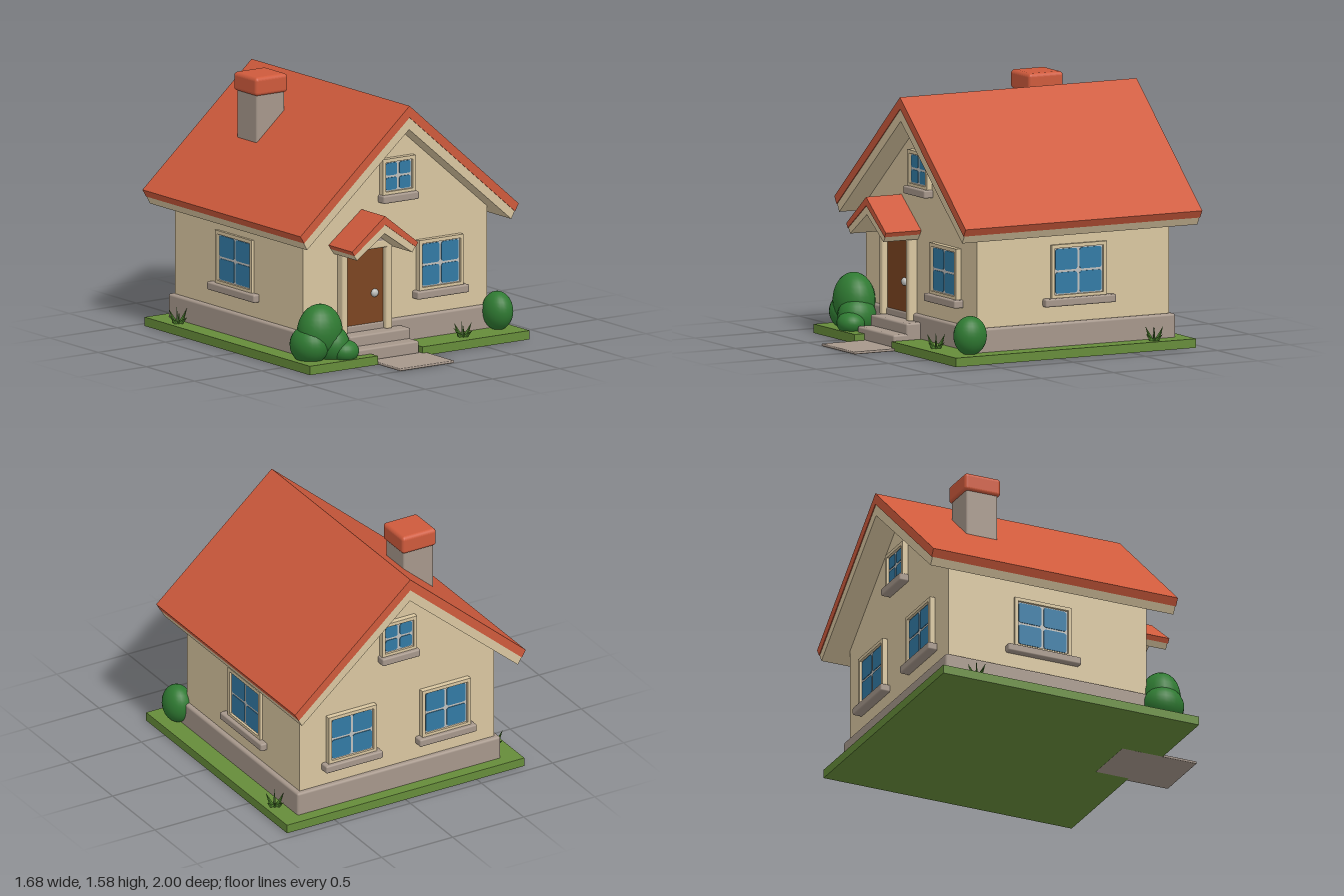
import * as THREE from 'three';
import { RoundedBoxGeometry } from 'three/addons/geometries/RoundedBoxGeometry.js';

const material = (name, color, side = THREE.FrontSide) => {
  const m = new THREE.MeshStandardMaterial({ color, side });
  m.name = name;
  return m;
};

export function createModel() {
  const wall = material('cream plaster', 0xd9c6a0);
  const roofRed = material('red roof', 0xce5a3c);
  const stone = material('grey stone', 0xa6978b);
  const glass = material('blue glass', 0x327aa4);
  const pale = material('pale window bars', 0xbfc0bd);
  const wood = material('brown door', 0x7c4521);
  const leaf = material('bush green', 0x2f7a32);
  const lawn = material('lawn green', 0x668c3a);
  const blade = material('grass blade green', 0x4c7f2c, THREE.DoubleSide);

  const house = new THREE.Group();
  house.name = 'cottage';

  const add = (name, geometry, mat, parent = house) => {
    const mesh = new THREE.Mesh(geometry, mat);
    mesh.name = name;
    parent.add(mesh);
    return mesh;
  };
  // Box given by its limits, with softly rounded edges
  const box = (name, mat, [x0, x1], [y0, y1], [z0, z1], r = 0.012, parent = house) => {
    const g = new RoundedBoxGeometry(x1 - x0, y1 - y0, z1 - z0, 2, r);
    g.translate((x0 + x1) / 2, (y0 + y1) / 2, (z0 + z1) / 2);
    return add(name, g, mat, parent);
  };
  const outline = (pts) => new THREE.Shape(pts.map(([x, y]) => new THREE.Vector2(x, y)));
  const rect = (w, h) => [[-w / 2, -h / 2], [w / 2, -h / 2], [w / 2, h / 2], [-w / 2, h / 2]];
  const extrude = (shape, z0, z1) => {
    const g = new THREE.ExtrudeGeometry(shape, { depth: z1 - z0, bevelEnabled: false });
    return g.translate(0, 0, z0);
  };
  const roundedRect = (w, h, r) => {
    const s = new THREE.Shape(), x = w / 2, y = h / 2;
    s.absarc(x - r, y - r, r, 0, Math.PI / 2);
    s.absarc(r - x, y - r, r, Math.PI / 2, Math.PI);
    s.absarc(r - x, r - y, r, Math.PI, Math.PI * 1.5);
    s.absarc(x - r, r - y, r, Math.PI * 1.5, Math.PI * 2);
    return s;
  };

  // Lawn slab, notched where the path meets the steps
  const lawnGeo = extrude(outline([
    [-0.835, -0.77], [-0.33, -0.77], [-0.33, -0.5], [0.04, -0.5],
    [0.04, -0.72], [0.835, -0.72], [0.835, 0.945], [-0.835, 0.945],
  ]), 0, 0.055).rotateX(-Math.PI / 2);
  add('lawn', lawnGeo, lawn);

  // Path and entrance steps
  box('path', stone, [-0.33, 0.075], [0, 0.016], [0.5, 1], 0.006);
  box('lowerStep', stone, [-0.42, 0.03], [0.01, 0.09], [0.45, 0.7]);
  box('upperStep', stone, [-0.42, 0.03], [0.03, 0.155], [0.45, 0.61]);

  // Walls with gables on a stone plinth
  box('plinth', stone, [-0.715, 0.715], [0.04, 0.2], [-0.87, 0.515], 0.015);
  add('walls', extrude(outline([
    [-0.685, 0.1], [0.685, 0.1], [0.685, 0.82], [0, 1.41], [-0.685, 0.82],
  ]), -0.84, 0.49), wall);

  // A layer of pitched roof: outer and inner lines, each [apexY, endX, endY]
  const pitched = (name, mat, cx, [ya, xe, ye], [yb, xi, yi], z0, z1) =>
    add(name, extrude(outline([
      [cx, ya], [cx - xe, ye], [cx - xi, yi], [cx, yb], [cx + xi, yi], [cx + xe, ye],
    ]), z0, z1), mat);
  const eave = [1.465, 0.785, 0.785];
  pitched('mainRoof', roofRed, 0, [1.537, 0.812, 0.83], eave, -1, 0.64);
  pitched('roofTrim', wall, 0, eave, [1.39, 0.76, 0.74], -0.995, 0.635);
  const porchEave = [0.85, 0.228, 0.685];
  pitched('porchRoof', roofRed, -0.25, [0.903, 0.245, 0.712], porchEave, 0.45, 0.735);
  pitched('porchRoofTrim', wall, -0.25, porchEave, [0.795, 0.205, 0.653], 0.45, 0.73);

  // Chimney with a domed cap
  box('chimney', stone, [-0.41, -0.2], [1.02, 1.5], [-0.585, -0.375]);
  const cap = new RoundedBoxGeometry(0.24, 0.11, 0.24, 6, 0.02);
  const p = cap.attributes.position;
  for (let i = 0; i < p.count; i++) {
    const r = Math.max(Math.abs(p.getX(i)), Math.abs(p.getZ(i))) / 0.12;
    if (p.getY(i) > 0) p.setY(i, p.getY(i) + 0.014 * (1 - r * r));
  }
  cap.computeVertexNormals();
  add('chimneyCap', cap, roofRed).position.set(-0.305, 1.525, -0.48);

  // Door, surround and gable infill under the porch roof
  box('door', wood, [-0.39, -0.1], [0.15, 0.66], [0.47, 0.51], 0.005);
  for (const [x0, x1] of [[-0.43, -0.388], [-0.105, -0.058]])
    box('doorPost', wall, [x0, x1], [0.15, 0.7], [0.47, 0.545]);
  box('doorLintel', wall, [-0.42, -0.07], [0.658, 0.71], [0.47, 0.545]);
  add('porchGable', extrude(outline([[-0.39, 0.705], [-0.11, 0.705], [-0.25, 0.82]]), 0.47, 0.55), stone);
  const knob = add('doorKnob', new THREE.SphereGeometry(0.025, 16, 12), pale);
  knob.position.set(-0.17, 0.38, 0.515);
  knob.scale.z = 0.7;

  // Four-pane window built facing +z around its own centre
  const addWindow = (name, w, h, sillW, x, y, z, turn = 0) => {
    const g = new THREE.Group();
    g.name = name;
    const frame = outline(rect(w, h));
    const t = 0.022, iw = w - 2 * t, ih = h - 2 * t;
    frame.holes.push(new THREE.Path(rect(iw, ih).reverse().map(([a, b]) => new THREE.Vector2(a, b))));
    add('windowFrame', extrude(frame, -0.03, 0.035), wall, g);
    add('windowBars', new THREE.BoxGeometry(iw, ih, 0.04), pale, g);
    const pw = iw / 2 - 0.016, ph = ih / 2 - 0.014;
    for (const sx of [-1, 1]) for (const sy of [-1, 1]) {
      const pane = add('windowPane', extrude(roundedRect(pw, ph, 0.016), 0, 0.004), glass, g);
      pane.position.set(sx * iw * 0.25, sy * ih * 0.25, 0.02);
    }
    box('windowSill', stone, [-sillW / 2, sillW / 2], [-h / 2 - 0.045, -h / 2 + 0.004], [-0.03, 0.06], 0.01, g);
    g.position.set(x, y, z);
    g.rotation.y = turn;
    house.add(g);
  };
  addWindow('frontWindow', 0.33, 0.315, 0.385, 0.32, 0.505, 0.49);
  addWindow('frontGableWindow', 0.245, 0.225, 0.265, 0.006, 1.085, 0.49);
  addWindow('backGableWindow', 0.245, 0.225, 0.265, 0, 1.085, -0.84, Math.PI);
  for (const s of [-1, 1]) {
    addWindow('backWindow', 0.34, 0.32, 0.4, s * 0.33, 0.505, -0.84, Math.PI);
    addWindow('sideWindow', 0.38, 0.33, 0.49, s * 0.667, 0.51, -0.21, s * Math.PI / 2);
  }

  // Bushes: [x, y, z, radius x, y, z]
  for (const [x, y, z, rx, ry, rz] of [
    [-0.64, 0.215, 0.6, 0.145, 0.17, 0.125],
    [-0.71, 0.14, 0.59, 0.115, 0.12, 0.13],
    [-0.57, 0.13, 0.62, 0.11, 0.12, 0.12],
    [-0.52, 0.095, 0.69, 0.09, 0.07, 0.085],
    [0.715, 0.165, 0.555, 0.09, 0.12, 0.105],
  ]) {
    const bush = add('bush', new THREE.SphereGeometry(1, 24, 16), leaf);
    bush.position.set(x, y, z);
    bush.scale.set(rx, ry, rz);
  }

  // Grass tufts of leaning blades
  for (const [x, z] of [[0.41, 0.62], [0.77, -0.69], [-0.77, -0.69]]) {
    const tuft = new THREE.Group();
    tuft.name = 'grassTuft';
    for (let i = 0; i < 8; i++) {
      const a = i * Math.PI / 4 + 0.3;
      const h = i % 2 ? 0.1 : 0.075;
      const geo = new THREE.ConeGeometry(0.016, h, 4).scale(1, 1, 0.5).translate(0, h / 2, 0);
      const b = add('grassBlade', geo, blade, tuft);
      b.rotation.set(0, a, i % 2 ? -0.4 : -0.85);
      b.position.set(Math.cos(a) * 0.015, 0, -Math.sin(a) * 0.015);
    }
    tuft.position.set(x, 0.05, z);
    house.add(tuft);
  }
  return house;
}
